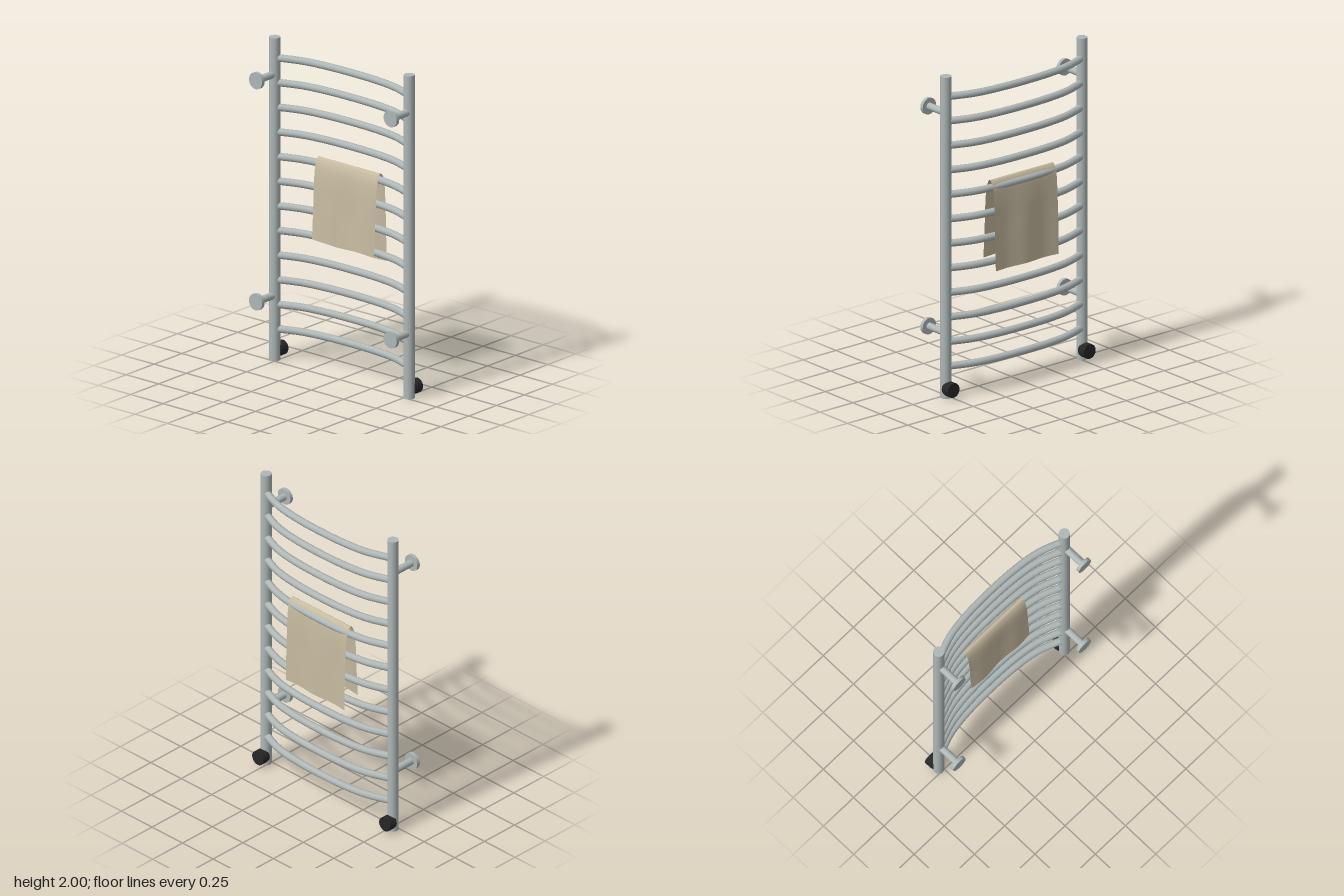
import * as THREE from 'three';

export function createModel() {
  const root = new THREE.Group();
  const metal = new THREE.MeshStandardMaterial({ color: 0xaeb6b6 });
  metal.name = 'brushed metal';
  const black = new THREE.MeshStandardMaterial({ color: 0x262626 });
  black.name = 'black plastic';
  const cloth = new THREE.MeshStandardMaterial({ color: 0xc6baa0, side: THREE.DoubleSide });
  cloth.name = 'beige cloth';

  const add = (name, geometry, material, x = 0, y = 0, z = 0) => {
    const mesh = new THREE.Mesh(geometry, material);
    mesh.name = name;
    mesh.position.set(x, y, z);
    root.add(mesh);
    return mesh;
  };
  // Cylinder lying along z, between two depths
  const rod = (rFront, rBack, z0, z1, sides = 28) =>
    new THREE.CylinderGeometry(rFront, rBack, z1 - z0, sides)
      .rotateX(Math.PI / 2).translate(0, 0, (z0 + z1) / 2);

  const POST_X = 0.52, POST_Z = -0.025;

  // Posts, wall brackets and valve knobs on both sides
  for (const side of [-1, 1]) {
    const label = side > 0 ? 'left' : 'right';
    const x = side * POST_X;
    add(label + 'Post', new THREE.CylinderGeometry(0.033, 0.033, 2, 32), metal, x, 1, POST_Z);
    for (const y of [0.4, 1.77]) {
      add(label + 'BracketStem', rod(0.022, 0.022, POST_Z, 0.127), metal, x, y);
      add(label + 'BracketDisc', rod(0.051, 0.051, 0.125, 0.147, 36), metal, x, y);
    }
    add(label + 'ValveKnob', rod(0.041, 0.045, -0.052, -0.036), black, x, 0.06);
    add(label + 'ValveKnobCap', rod(0.045, 0.045, -0.096, -0.052), black, x, 0.06);
  }

  // Bowed rungs
  const bow = new THREE.CatmullRomCurve3([
    [-POST_X, POST_Z], [-0.36, -0.082], [-0.2, -0.105], [0, -0.112],
    [0.2, -0.105], [0.36, -0.082], [POST_X, POST_Z],
  ].map(([x, z]) => new THREE.Vector3(x, 0, z)));
  const rungGeometry = new THREE.TubeGeometry(bow, 40, 0.022, 16);
  for (let i = 0; i < 12; i++) add('rung' + (i + 1), rungGeometry, metal, 0, 0.192 + i * 0.1526, 0);

  // Towel folded over a rung: side profile swept across x, rippling more toward the hems
  const profile = new THREE.CatmullRomCurve3([
    [0.805, -0.031], [1.0, -0.042], [1.2, -0.054], [1.265, -0.066], [1.298, -0.082],
    [1.305, -0.092], [1.298, -0.104], [1.265, -0.122], [1.2, -0.13], [1.0, -0.138], [0.75, -0.144],
  ].map(([y, z]) => new THREE.Vector3(0, y, z)));
  const towel = new THREE.PlaneGeometry(0.48, 1, 36, 60);
  const pos = towel.attributes.position;
  for (let i = 0; i < pos.count; i++) {
    const x = pos.getX(i);
    const p = profile.getPoint(THREE.MathUtils.clamp(pos.getY(i) + 0.5, 0, 1));
    const ripple = 0.005 * Math.min(1, (1.305 - p.y) / 0.3) * Math.sin(x * 22 + 4.6);
    pos.setXYZ(i, x, p.y, p.z + ripple);
  }
  towel.computeVertexNormals();
  add('towel', towel, cloth);

  return root;
}
